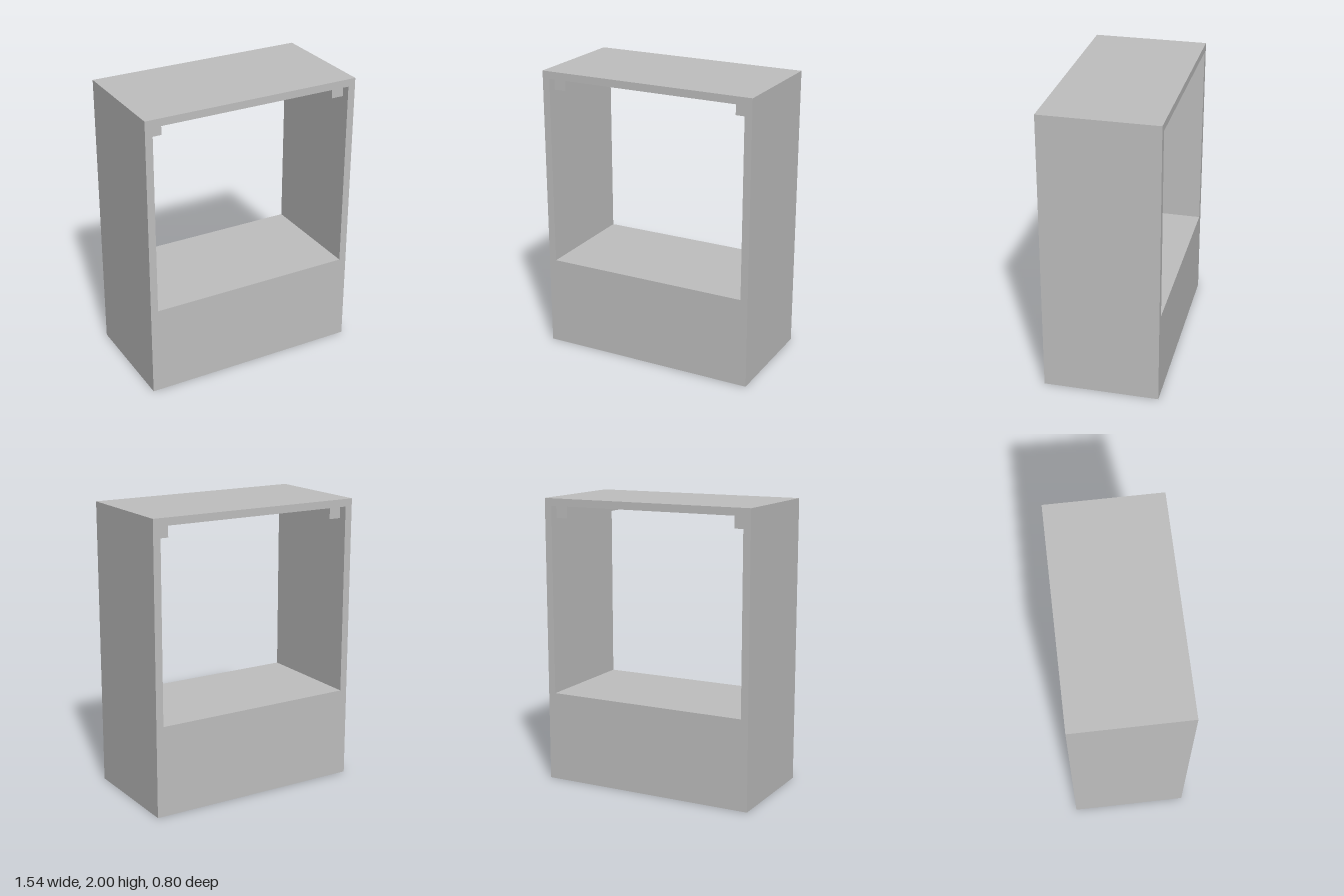
import * as THREE from 'three';

export function createModel() {
  const model = new THREE.Group();
  model.name = 'cabinet';
  const grey = new THREE.MeshStandardMaterial({ color: 0xbfbfbf });
  grey.name = 'light grey';

  const W = 1.54, H = 2, D = 0.8; // overall size
  const T = 0.052;                // panel thickness
  const B = 0.088;                // batten and post section
  const DECK = 0.63;              // top of the closed base
  const inX = W / 2 - T, inZ = D / 2 - T;

  // Box given by its centre x and z, and its bottom y
  function box(name, w, h, d, x, y, z) {
    const mesh = new THREE.Mesh(new THREE.BoxGeometry(w, h, d), grey);
    mesh.name = name;
    mesh.position.set(x, y + h / 2, z);
    model.add(mesh);
  }

  // Top panel and deck
  box('topPanel', W, T, D, 0, H - T, 0);
  box('deck', 2 * inX, T, D, 0, DECK - T, 0);

  for (const s of [1, -1]) {
    const side = s > 0 ? 'left' : 'right';
    // Full-height sides, with a batten under the top
    box(side + 'Side', T, H - T, D, s * (W / 2 - T / 2), 0, 0);
    box(side + 'Batten', B, B, 0.68, s * (inX - B / 2), H - T - B, 0);

    // Front and back aprons of the base, open at the bottom
    box(s > 0 ? 'frontApron' : 'backApron', 2 * inX, DECK - T, T, 0, 0, s * (D / 2 - T / 2));

    // Posts in the inner corners of the base
    for (const t of [1, -1]) {
      box(side + (t > 0 ? 'Front' : 'Back') + 'Post', B, DECK - T, B,
        s * (inX - B / 2), 0, t * (inZ - B / 2));
    }
  }
  return model;
}
